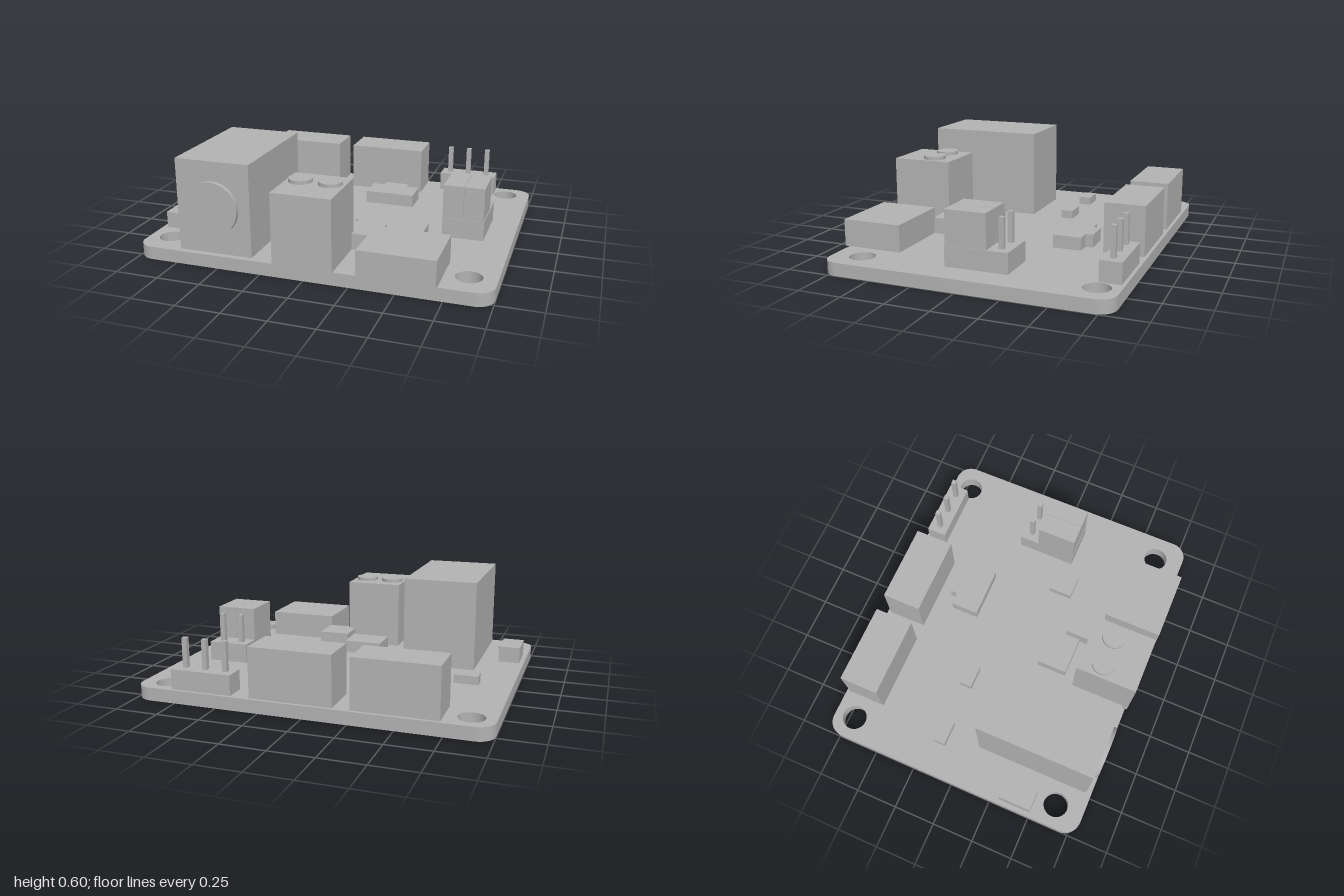
import * as THREE from 'three';
import { toCreasedNormals } from 'three/addons/utils/BufferGeometryUtils.js';

export function createModel() {
  const model = new THREE.Group();
  const grey = new THREE.MeshStandardMaterial({ color: 0xb2b2b2 });
  grey.name = 'plain grey';
  const TOP = 0.075; // upper face of the board

  const add = (name, geometry, x = 0, y = 0, z = 0) => {
    const mesh = new THREE.Mesh(geometry, grey);
    mesh.name = name;
    mesh.position.set(x, y, z);
    model.add(mesh);
    return mesh;
  };
  // Box given by its extents
  const block = (name, x0, x1, z0, z1, y1, y0 = TOP) =>
    add(name, new THREE.BoxGeometry(x1 - x0, y1 - y0, z1 - z0),
      (x0 + x1) / 2, (y0 + y1) / 2, (z0 + z1) / 2);
  const pin = (name, x, z) => block(name, x - 0.014, x + 0.014, z - 0.014, z + 0.014, 0.36, 0.19);
  // Flat outline (drawn with y = -z) raised into a plate
  const plate = (name, shape, height, y) => {
    const g = new THREE.ExtrudeGeometry(shape, { depth: height, bevelEnabled: false, curveSegments: 16 });
    g.rotateX(-Math.PI / 2);
    return add(name, toCreasedNormals(g, 0.5), 0, y, 0);
  };

  // Circuit board with rounded corners and four mounting holes
  const x = 1, yb = -0.794, yt = 0.822, r = 0.095;
  const outline = new THREE.Shape();
  outline.absarc(x - r, yb + r, r, -Math.PI / 2, 0);
  outline.absarc(x - r, yt - r, r, 0, Math.PI / 2);
  outline.absarc(-x + r, yt - r, r, Math.PI / 2, Math.PI);
  outline.absarc(-x + r, yb + r, r, Math.PI, Math.PI * 1.5);
  outline.closePath();
  for (const hx of [-0.87, 0.85]) {
    for (const hz of [-0.7, 0.624]) {
      const hole = new THREE.Path();
      hole.absarc(hx, -hz, 0.072, 0, Math.PI * 2, true);
      outline.holes.push(hole);
    }
  }
  plate('circuitBoard', outline, TOP, 0);

  // Power jack with round front face
  block('powerJack', -0.737, -0.307, 0.073, 0.76, 0.6);
  const face = new THREE.CylinderGeometry(0.15, 0.15, 0.026, 48);
  face.rotateX(Math.PI / 2);
  add('powerJackFace', face, -0.523, 0.34, 0.772);

  // Screw terminal
  block('screwTerminal', -0.17, 0.167, 0.443, 0.805, 0.48);
  for (const sx of [-0.087, 0.083]) {
    add('terminalScrew', new THREE.CylinderGeometry(0.067, 0.067, 0.02, 32), sx, 0.49, 0.577);
  }

  // Front socket
  block('dataSocket', 0.3, 0.72, 0.47, 0.82, 0.23);

  // Two tall rear connectors
  for (const cx of [-0.498, 0.07]) {
    block('rearConnector', cx - 0.235, cx + 0.235, -0.803, -0.572, 0.36);
  }

  // Three-pin header
  block('threePinHeader', 0.415, 0.772, -0.803, -0.684, 0.19);
  for (const px of [0.47, 0.59, 0.71]) pin('headerPin', px, -0.74);

  // Jumper header with two caps
  block('jumperHeader', 0.6, 0.84, -0.228, 0.132, 0.19);
  block('jumperCapRight', 0.6, 0.718, -0.106, 0.129, 0.385, 0.19);
  block('jumperCapLeft', 0.72, 0.836, -0.106, 0.129, 0.385, 0.19);
  for (const px of [0.657, 0.777]) pin('jumperPin', px, -0.17);

  // Voltage regulator with cooling tab
  const reg = new THREE.Shape();
  [[0.018, 0.283], [0.322, 0.283], [0.322, 0.45], [0.243, 0.45], [0.243, 0.495],
    [0.093, 0.495], [0.093, 0.45], [0.018, 0.45]]
    .forEach(([px, py], i) => (i ? reg.lineTo(px, py) : reg.moveTo(px, py)));
  plate('voltageRegulator', reg, 0.075, TOP);

  // Small surface parts: x0, x1, z0, z1, top
  const small = {
    pushButton: [-0.973, -0.848, 0.302, 0.5, 0.17],
    resistorRight: [-0.812, -0.672, -0.195, -0.12, 0.125],
    resistorLeft: [-0.427, -0.293, -0.195, -0.12, 0.125],
    diode: [-0.12, 0.11, 0.195, 0.377, 0.15],
    inductor: [0.125, 0.312, 0.285, 0.475, 0.17],
    chip: [0.37, 0.51, 0.072, 0.215, 0.12],
  };
  for (const [name, dims] of Object.entries(small)) block(name, ...dims);

  return model;
}
